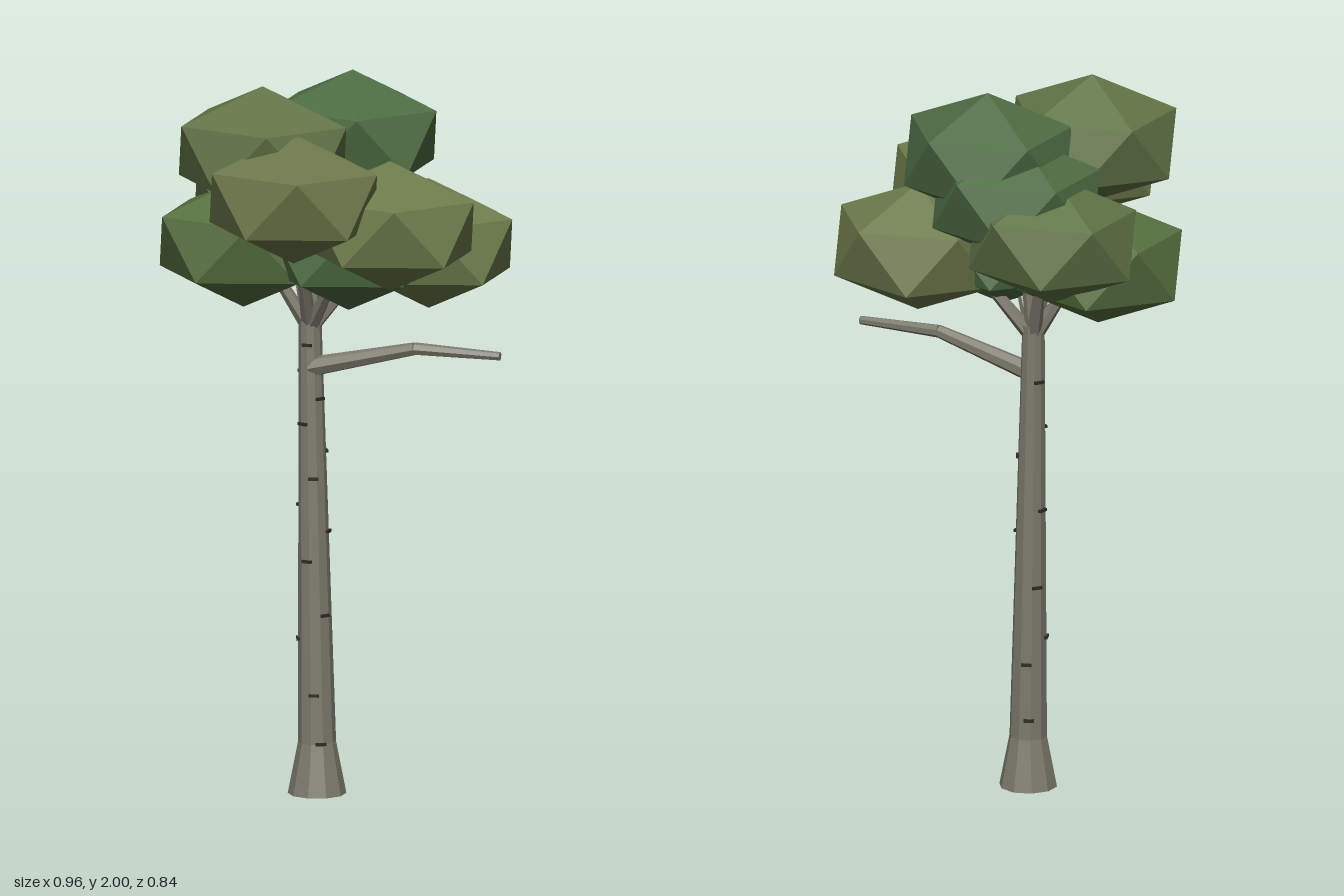
import * as THREE from 'three';

const UP = new THREE.Vector3(0, 1, 0);
const V = (a) => new THREE.Vector3(...a);
const material = (color) => new THREE.MeshStandardMaterial({ color, flatShading: true });

// Tapered limb between two points
function limb(name, a, b, r0, r1, sides, mat) {
  const from = V(a), dir = V(b).sub(from), len = dir.length();
  const geo = new THREE.CylinderGeometry(r1, r0, len, sides).translate(0, len / 2, 0);
  const mesh = new THREE.Mesh(geo, mat);
  mesh.position.copy(from);
  mesh.quaternion.setFromUnitVectors(UP, dir.normalize());
  mesh.name = name;
  return mesh;
}

export function createModel() {
  const tree = new THREE.Group();
  tree.name = 'tree';
  const bark = material(0x7d7b6d), dark = material(0x2b2a26);

  // Flared foot and slightly leaning trunk
  const foot = [-0.04, 0.143, -0.08], crown = [-0.065, 1.33, -0.095];
  tree.add(limb('trunkFoot', [-0.04, 0, -0.08], foot, 0.08, 0.052, 10, bark));
  tree.add(limb('trunk', foot, crown, 0.052, 0.031, 10, bark));

  // Bent bare side branch
  const elbow = [0.24, 1.256, -0.08];
  tree.add(limb('sideBranch', [-0.06, 1.185, -0.085], elbow, 0.028, 0.018, 7, bark));
  tree.add(limb('sideBranchTip', elbow, [0.483, 1.25, -0.083], 0.018, 0.012, 7, bark));

  // Limbs rising from the trunk top into the foliage
  const tips = [[-0.2, 1.52, -0.05], [0.12, 1.52, -0.16], [0.08, 1.54, 0.03],
    [-0.15, 1.56, -0.19], [-0.05, 1.62, 0.08], [-0.04, 1.7, -0.12]];
  for (const tip of tips) {
    tree.add(limb('crownBranch', [crown[0], 1.29, crown[2]], tip, 0.022, 0.011, 6, bark));
  }

  // Thin dark bark marks: height, angle around the trunk in degrees
  const marks = [[0.145, 60], [0.2, 240], [0.28, 80], [0.36, 250], [0.43, 160], [0.5, 35],
    [0.58, 215], [0.65, 100], [0.73, 0], [0.8, 190], [0.88, 70], [0.95, -30],
    [1.03, 115], [1.1, 30], [1.17, 210], [1.25, 90]];
  for (const [y, deg] of marks) {
    const t = (y - foot[1]) / (crown[1] - foot[1]);
    const angle = THREE.MathUtils.degToRad(deg);
    const r = THREE.MathUtils.lerp(0.052, 0.031, t) * 0.97;
    const mark = new THREE.Mesh(new THREE.BoxGeometry(0.012, 0.008, 0.028), dark);
    mark.position.copy(V(foot).lerp(V(crown), t));
    mark.position.add(new THREE.Vector3(Math.cos(angle) * r, 0, Math.sin(angle) * r));
    mark.rotation.y = -angle;
    mark.name = 'barkMark';
    tree.add(mark);
  }

  // Foliage clumps: squashed icosahedra standing on a corner
  const clump = new THREE.IcosahedronGeometry(1, 0)
    .rotateZ(-Math.atan(2 / (1 + Math.sqrt(5))))
    .scale(0.268, 0.181, 0.232);
  const clumps = [
    [0.03, 1.82, -0.18, 0x4d6c42],
    [-0.07, 1.72, -0.2, 0x4d6c42],
    [0.06, 1.54, -0.05, 0x4d6c42],
    [-0.24, 1.53, -0.047, 0x56703f],
    [-0.197, 1.63, -0.224, 0x5e7344],
    [-0.137, 1.82, 0.104, 0x617446],
    [-0.012, 1.72, 0.22, 0x6a7749],
    [0.22, 1.63, 0.08, 0x6d7b4b],
    [0.245, 1.53, -0.187, 0x6d7b4b],
  ];
  for (const [x, y, z, color] of clumps) {
    const mesh = new THREE.Mesh(clump, material(color));
    mesh.position.set(x, y, z);
    mesh.name = 'foliageClump';
    tree.add(mesh);
  }
  return tree;
}
